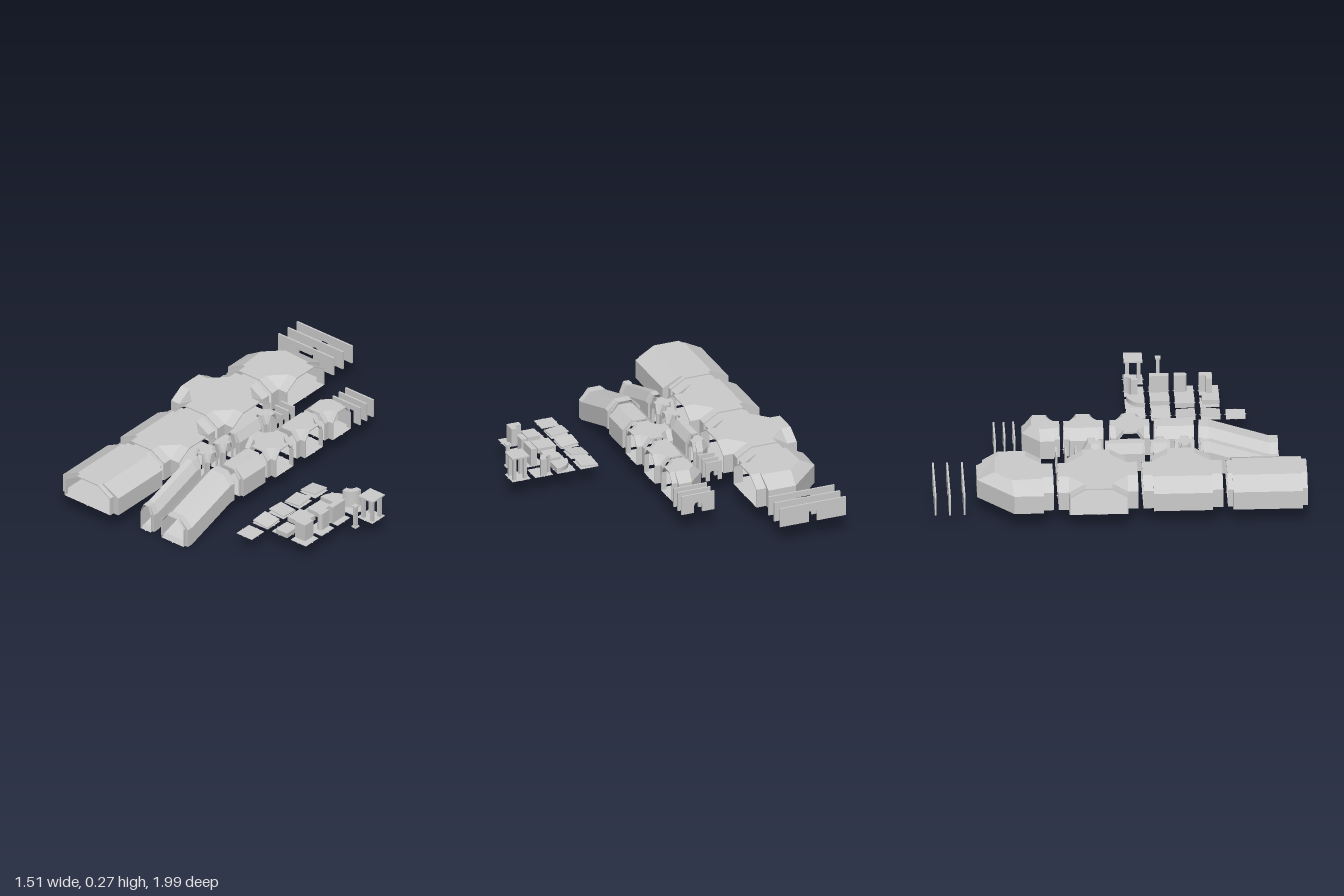
import * as THREE from 'three';

const FLOOR = 0.115, WALL = 0.105, TOP = 0.156;
const mat = new THREE.MeshStandardMaterial({ color: 0xcccccc, flatShading: true, side: THREE.DoubleSide });

function add(parent, name, geo, x = 0, y = 0, z = 0) {
  const m = new THREE.Mesh(geo, mat);
  m.name = name;
  m.position.set(x, y, z);
  parent.add(m);
  return m;
}

// Collects quads and fans into one faceted surface
class Surface {
  constructor() { this.p = []; }
  tri(a, b, c) {
    const v = [a, b, c].map(q => new THREE.Vector3(...q));
    const n = v[1].clone().sub(v[0]).cross(v[2].clone().sub(v[0]));
    if (n.length() > 1e-9) this.p.push(...a, ...b, ...c);
  }
  quad(a, b, c, d) { this.tri(a, b, c); this.tri(a, c, d); }
  strip(a, b) { for (let i = 0; i + 1 < a.length; i++) this.quad(a[i], a[i + 1], b[i + 1], b[i]); }
  fan(pts, c) { pts.forEach((p, i) => this.tri(c, pts[(i + 1) % pts.length], p)); }
  geometry() {
    const g = new THREE.BufferGeometry();
    g.setAttribute('position', new THREE.Float32BufferAttribute(this.p, 3));
    g.computeVertexNormals();
    return g;
  }
}

// Small pointer on the floor edge, showing where pieces join
function marker(parent, x, y, z, dx, dz) {
  const m = add(parent, 'joinMarker', new THREE.ConeGeometry(0.005, 0.01, 4), x + dx * 0.003, y, z + dz * 0.003);
  m.rotation.set(dz * Math.PI / 2, 0, -dx * Math.PI / 2);
}

// Vaulted cross-section: half width w, half flat roof r
const vault = (w, r, t = 0) => [[-w + t, 0], [-w + t, WALL - t / 2], [-r, TOP - t], [r, TOP - t], [w - t, WALL - t / 2], [w - t, 0]];

// Vaulted room; open sides (E, S, W, N) get a collar, the rest a wall.
// d: L body half depth, end collar reach, m collar half width, r collar roof, W wall reach, q wall roof
function room(parent, name, cx, cz, d, open) {
  const g = new THREE.Group();
  g.name = name;
  g.position.set(cx, FLOOR, cz);
  parent.add(g);
  const dir = [[1, 0], [0, 1], [-1, 0], [0, -1]];
  const s = new Surface();
  const at = (i, a, b, y) => {
    const u = dir[i], v = dir[(i + 1) % 4];
    return [u[0] * a + v[0] * b, y, u[1] * a + v[1] * b];
  };
  const corners = dir.map((_, i) => {
    const p = open[i], n = open[(i + 1) % 4], { L, W, q, r } = d;
    let o, t;
    if (p && n) { o = [[L, L], [L, L]]; t = [[L, r], [r, L]]; }
    else if (p) { o = [[L, W], [L, W]]; t = [[L, q], [L, q]]; }
    else if (n) { o = [[W, L], [W, L]]; t = [[q, L], [q, L]]; }
    else { o = [[W, 0], [0, W]]; t = [[q + W * 0.05, W * 0.05], [W * 0.05, q + W * 0.05]]; }
    return {
      base: o.map(c => at(i, ...c, 0)), eave: o.map(c => at(i, ...c, WALL)), roof: t.map(c => at(i, ...c, TOP)),
    };
  });
  corners.forEach((c, i) => {
    s.strip(c.base, c.eave);
    s.strip(c.eave, c.roof);
    const p = corners[(i + 3) % 4];
    if (!open[i]) {
      s.quad(p.base[1], c.base[0], c.eave[0], p.eave[1]);
      s.quad(p.eave[1], c.eave[0], c.roof[0], p.roof[1]);
      return;
    }
    // collar with a thin end rim
    const body = [p.base[1], p.eave[1], p.roof[1], c.roof[0], c.eave[0], c.base[0]];
    const ring = (a, t) => vault(d.m, d.r, t).map(([x, y]) => at(i, a, x, y));
    const start = ring(d.L, 0), end = ring(d.end, 0), rim = ring(d.end, 0.007);
    s.strip(body, start);
    s.strip(start, end);
    s.strip(end, rim);
    s.quad(start[0], start[5], end[5], end[0]);
    marker(g, dir[i][0] * d.end, 0, dir[i][1] * d.end, ...dir[i]);
  });
  s.fan(corners.flatMap(c => c.roof), [0, TOP, 0]);
  s.fan(corners.flatMap(c => c.base), [0, 0, 0]);
  add(g, name + 'Shell', s.geometry());
}

// Sloping tunnel, from the low front end up to floor level
function ramp(parent, name, cx, W, q, m, r) {
  const s = new Surface();
  const path = [[0.85, 0.01, m, r], [0.835, 0.01, m, r], [0.835, 0.01, W, q], [0.8, 0.01, W, q],
    [0.48, FLOOR, W, q], [0.445, FLOOR, W, q], [0.445, FLOOR, m, r], [0.43, FLOOR, m, r]];
  const rings = path.map(([z, y, w, f]) => {
    const p = vault(w, f).map(([x, h]) => [cx + x, y + h, z]);
    return [...p, p[0]];
  });
  for (let i = 0; i + 1 < rings.length; i++) s.strip(rings[i], rings[i + 1]);
  add(parent, name, s.geometry());
  marker(parent, cx, 0.008, 0.85, 0, 1);
  marker(parent, cx, FLOOR, 0.43, 0, -1);
}

// Thin wall panel with a doorway
function doorway(parent, cx, cz, w, door, h, arched) {
  const s = new THREE.Shape(), k = door / 2;
  s.moveTo(-w, 0).lineTo(-k, 0);
  if (arched) { s.lineTo(-k, h - k); s.absarc(0, h - k, k, Math.PI, 0, true); }
  else s.lineTo(-k, h).lineTo(k, h);
  s.lineTo(k, 0).lineTo(w, 0).lineTo(w, 0.108).lineTo(-w, 0.108);
  add(parent, 'doorwayPanel', new THREE.ExtrudeGeometry(s, { depth: 0.01, bevelEnabled: false, curveSegments: 8 }), cx, FLOOR, cz - 0.005);
}

// Upright block from a plan outline (x, z)
function block(parent, name, shape, h, x, z) {
  const g = new THREE.ExtrudeGeometry(shape, { depth: h, bevelEnabled: false, curveSegments: 8 });
  g.rotateX(Math.PI / 2).translate(0, h, 0);
  return add(parent, name, g, x, FLOOR, z);
}
const poly = (...pts) => new THREE.Shape(pts.map(p => new THREE.Vector2(...p)));

export function createModel() {
  const root = new THREE.Group();
  root.name = 'tunnelKit';

  // Tunnel families: large, medium, small
  const big = { L: 0.157, end: 0.212, m: 0.157, r: 0.072, W: 0.19, q: 0.09 };
  const mid = { L: 0.075, end: 0.105, m: 0.075, r: 0.036, W: 0.094, q: 0.042 };
  const small = { L: 0.035, end: 0.052, m: 0.035, r: 0.016, W: 0.046, q: 0.018 };
  const EW = [1, 1, 1, 1], T = [1, 1, 0, 1], bend = [1, 1, 0, 0], straight = [0, 1, 0, 1];
  room(root, 'largeStraight', -0.54, 0.772, { ...big, L: 0.185 }, straight);
  room(root, 'largeJunction', -0.54, 0.323, big, T);
  room(root, 'largeCrossing', -0.54, -0.127, big, EW);
  room(root, 'largeBend', -0.54, -0.576, big, bend);
  room(root, 'mediumStraight', -0.05, 0.298, { ...mid, L: 0.092 }, straight);
  room(root, 'mediumCrossing', -0.05, 0.063, mid, EW);
  room(root, 'mediumJunction', -0.05, -0.183, mid, T);
  room(root, 'mediumBend', -0.05, -0.415, mid, bend);
  room(root, 'smallCrossing', -0.25, 0.347, small, EW);
  room(root, 'smallJunction', -0.25, 0.217, small, T);
  room(root, 'smallStraight', -0.25, 0.03, { ...small, L: 0.092, end: 0.105 }, straight);
  room(root, 'smallBend', -0.25, -0.148, small, bend);
  ramp(root, 'mediumRamp', -0.065, 0.093, 0.04, 0.075, 0.036);
  ramp(root, 'smallRamp', -0.25, 0.046, 0.018, 0.035, 0.016);

  // Doorway panels
  for (const [x, w, zs, wide] of [[-0.54, 0.19, [-0.994, -0.918, -0.84], 0.1],
    [-0.022, 0.095, [-0.655, -0.602, -0.55], 0.1], [-0.25, 0.046, [-0.335, -0.285, -0.232], 0.055]]) {
    doorway(root, x, zs[0], w, 0.048, 0.06, w < 0.15);
    doorway(root, x, zs[1], w, 0.048, 0.06, true);
    doorway(root, x, zs[2], w, wide, 0.075, false);
  }

  // Floor tiles
  const cols = [0.297, 0.43, 0.56, 0.69], rows = [0.11, 0.243, 0.375, 0.507, 0.64], h = 0.052;
  const counts = [5, 4, 4, 1];
  cols.forEach((x, c) => rows.slice(0, counts[c]).forEach((z, r) => {
    add(root, 'floorTile', new THREE.BoxGeometry(h * 2, 0.003, h * 2), x, FLOOR, z);
    for (const [dx, dz] of [[1, 0], [-1, 0], [0, 1], [0, -1]]) marker(root, x + dx * h, FLOOR, z + dz * h, dx, dz);
    // loose tilted slabs
    if (c === 0 && r < 4) {
      const slab = add(root, 'tiltedSlab', new THREE.BoxGeometry(0.1, 0.006, 0.1), x, FLOOR + 0.014, z);
      slab.rotation.set(r % 2 ? 0.08 : -0.06, 0, r < 2 ? 0.1 : -0.1);
    }
  }));

  // Low platforms
  const quarter = new THREE.Shape();
  quarter.moveTo(h, h).lineTo(-0.045, h);
  quarter.absarc(h, h, 0.097, Math.PI, Math.PI * 1.5, false);
  const low = [quarter, poly([-0.025, -h], [h, -h], [h, h], [-0.025, h]),
    poly([-h, -h], [h, -h], [h, h], [-h, h]), poly([-0.025, -0.04], [h, -0.04], [h, h], [-0.025, h])];
  low.forEach((s, i) => block(root, 'lowPlatform', s, 0.027, cols[1], rows[i]));

  // Partition walls: curved, straight, rounded end, corner
  const a = -0.015, b = 0.018;
  const curved = new THREE.Shape();
  curved.absarc(-h, -h, b + h, 0, Math.PI / 2, false);
  curved.absarc(-h, -h, a + h, Math.PI / 2, 0, true);
  const ended = new THREE.Shape();
  ended.moveTo(a, -h).lineTo(b, -h).lineTo(b, 0);
  ended.absarc((a + b) / 2, 0, (b - a) / 2, 0, Math.PI, false);
  const walls = [curved, poly([a, -h], [b, -h], [b, h], [a, h]), ended,
    poly([a, -h], [b, -h], [b, b], [-h, b], [-h, a], [a, a])];
  walls.forEach((s, i) => block(root, 'partitionWall', s, 0.1, cols[2], rows[i]));

  // Canopy on four posts
  const canopy = new THREE.Group();
  canopy.name = 'canopy';
  canopy.position.set(cols[3] + 0.003, FLOOR, rows[0]);
  root.add(canopy);
  add(canopy, 'canopyRoof', new THREE.BoxGeometry(0.1, 0.008, 0.1), 0, 0.131, 0);
  for (const x of [-1, 1]) for (const z of [-1, 1]) {
    add(canopy, 'post', new THREE.BoxGeometry(0.018, 0.127, 0.018), x * 0.03, 0.0635, z * 0.03);
  }

  // Free-standing pillar
  const px = cols[3] + 0.002, pz = rows[1];
  add(root, 'pillarBase', new THREE.BoxGeometry(0.03, 0.008, 0.03), px, FLOOR + 0.004, pz);
  add(root, 'pillarShaft', new THREE.BoxGeometry(0.018, 0.12, 0.018), px, FLOOR + 0.067, pz);
  add(root, 'pillarCap', new THREE.BoxGeometry(0.03, 0.008, 0.03), px, FLOOR + 0.131, pz);
  return root;
}
